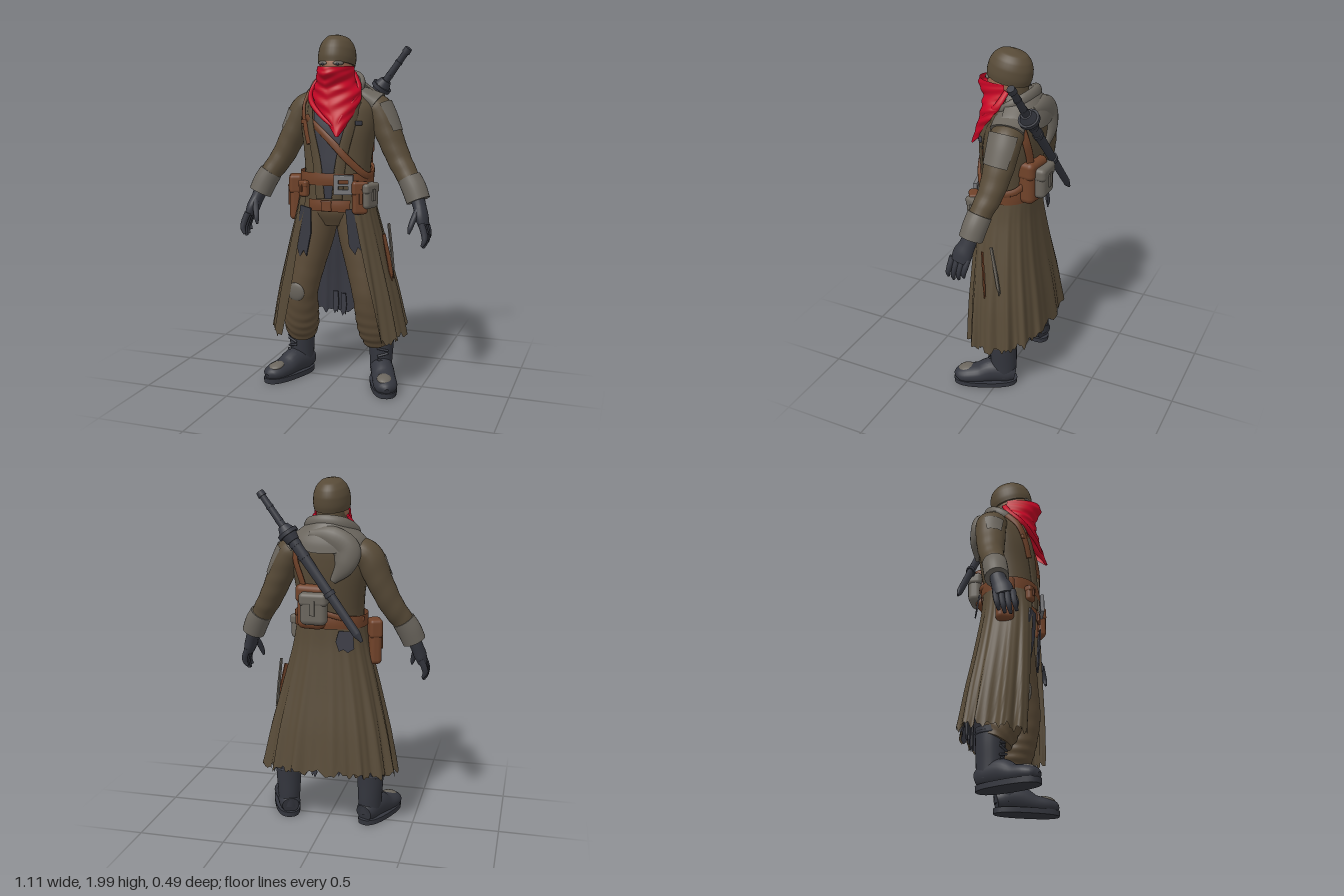
import * as THREE from 'three';
import { RoundedBoxGeometry } from 'three/addons/geometries/RoundedBoxGeometry.js';

const V = (x, y, z) => new THREE.Vector3(x, y, z);
const paint = (name, color, side = THREE.DoubleSide) => Object.assign(new THREE.MeshStandardMaterial({ color, side }), { name });

export function createModel() {
  const coat = paint('coat brown', 0x574a37), trouser = paint('trouser brown', 0x5a4a36), canvas = paint('worn grey', 0x6a655d),
    leather = paint('leather', 0x704229), dark = paint('dark cloth', 0x3a3b44), black = paint('boot black', 0x34363e),
    red = paint('scarf red', 0xc40524), skin = paint('skin', 0x94674e, THREE.FrontSide), metal = paint('buckle metal', 0x77777a, THREE.FrontSide);
  const model = new THREE.Group();
  const add = (name, geo, mat, pos = [0, 0, 0], rot = [0, 0, 0], parent = model) => {
    const m = new THREE.Mesh(geo, mat);
    m.name = name; m.position.set(...pos); m.rotation.set(...rot); parent.add(m);
    return m;
  };
  const pw = (v, e) => Math.sign(v) * Math.abs(v) ** e;

  // Skin through elliptical sections [x, y, z, radiusA, radiusB] along a smooth path
  function loft(pts, { n = 20, rows = 20, e = 1, ref = () => V(0, 0, 1), level = false, arc, rip = () => 1, drop = () => 0, caps = !arc } = {}) {
    const path = new THREE.CatmullRomCurve3(pts.map(p => V(p[0], p[1], p[2])));
    const size = new THREE.CatmullRomCurve3(pts.map(p => V(p[3], p[4], 0)));
    const pos = [], idx = [], cols = arc ? n + 1 : n;
    for (let j = 0; j <= rows; j++) {
      const t = j / rows, c = path.getPoint(t), r = size.getPoint(t);
      const tan = level ? V(0, Math.sign(pts.at(-1)[1] - pts[0][1]), 0) : path.getTangent(t);
      const w = ref(c); w.addScaledVector(tan, -w.dot(tan)).normalize();
      const u = tan.clone().cross(w), [s, f] = arc ? arc(t) : [0, Math.PI * 2];
      for (let i = 0; i < cols; i++) {
        const a = s + (f - s) * i / n, k = rip(a, t);
        const p = c.clone().addScaledVector(u, r.x * k * pw(Math.sin(a), e)).addScaledVector(w, r.y * k * pw(Math.cos(a), e));
        pos.push(p.x, p.y - drop(a, t), p.z);
      }
    }
    for (let j = 0; j < rows; j++) for (let i = 0; i < n; i++) {
      const a = j * cols + i, b = j * cols + (i + 1) % cols;
      idx.push(a, b, b + cols, a, b + cols, a + cols);
    }
    if (caps) for (const end of [0, rows]) {
      const base = pos.length / 3, ring = pos.slice(end * cols * 3, (end + 1) * cols * 3), c = path.getPoint(end / rows);
      pos.push(...ring, c.x, c.y, c.z);
      for (let i = 0; i < n; i++) {
        const a = base + i, b = base + (i + 1) % n;
        end ? idx.push(a, b, base + n) : idx.push(b, a, base + n);
      }
    }
    const g = new THREE.BufferGeometry();
    g.setAttribute('position', new THREE.Float32BufferAttribute(pos, 3));
    g.setIndex(idx); g.computeVertexNormals();
    return g;
  }

  // Torso and a helper for points on its surface
  const torso = [[0, 1.08, .04, .19, .14], [0, 1.22, .04, .185, .145], [0, 1.36, .025, .195, .155], [0, 1.5, .01, .215, .16],
    [0, 1.6, -.005, .215, .15], [0, 1.68, -.02, .165, .12], [0, 1.75, 0, .09, .09]];
  add('coatBody', loft(torso, { n: 40, e: .88, level: true, rip: (a, t) => 1 + .008 * Math.sin(a * 9 + t * 14) }), coat);
  const onTorso = (y, a, off) => {
    const i = Math.max(1, torso.findIndex(s => s[1] >= y)), A = torso[i - 1], B = torso[i], k = (y - A[1]) / (B[1] - A[1]);
    const [, , cz, rx, rz] = A.map((v, q) => v + (B[q] - v) * k);
    return [(rx + off) * pw(Math.sin(a), .88), y, cz + (rz + off) * pw(Math.cos(a), .88)];
  };
  const outward = p => V(p.x, 0, p.z - .02);
  const strap = (name, list, w, mat, off = .012, thick = .009) =>
    add(name, loft(list.map(([y, a]) => [...onTorso(y, a, off), w, thick]), { n: 8, e: .6, rows: 28, ref: outward }), mat);
  const band = (name, y0, y1, grow, mat, arc) => add(name, loft([y0, (y0 + y1) / 2, y1].map((y, i) =>
    [0, y, .04, .19 + grow, .148 + grow + (i === 1 ? .004 : 0)]), { n: 48, rows: 4, e: .88, level: true, arc, caps: false }), mat);

  // Dark vest, lapels and harness
  add('vest', loft([1.1, 1.22, 1.36, 1.5, 1.6].map(y => { const p = onTorso(y, 0, .008), q = onTorso(y, Math.PI / 2, .008); return [0, y, q[2], q[0], p[2] - q[2]]; }),
    { n: 14, e: .88, level: true, arc: t => [-.2 - .22 * t, .14 + .26 * t] }), dark);
  for (const s of [-1, 1]) {
    strap('lapel', [[1.1, s * .2], [1.3, s * .3], [1.5, s * .48], [1.64, s * .7]], .03, coat);
    add('strapBuckle', new RoundedBoxGeometry(.04, .025, .018, 2, .006), s < 0 ? leather : dark, onTorso(1.52, s * .7, .02), [0, s * .6, 0]);
  }
  strap('frontStrap', [[1.4, -.55], [1.5, -.66], [1.6, -.8], [1.68, -1.1]], .018, leather, .016);
  strap('rearStrap', [[1.63, 2.2], [1.55, 2.4], [1.42, 2.6], [1.22, 2.65]], .022, leather, .016);
  strap('chestStrap', [[1.55, -.62], [1.42, .05], [1.32, .5], [1.23, 1.2], [1.25, 2.1], [1.3, 2.6]], .02, leather, .02);
  strap('backStrap', [[1.24, 2], [1.28, 2.8], [1.24, 3.6], [1.22, 4.4]], .016, leather, .02);

  // Long coat skirt, open at the front, with a dark lining
  const skirt = [[0, 1.2, .04, .195, .155], [0, 1.05, .045, .222, .168], [0, .8, .035, .285, .19], [0, .55, .02, .345, .214], [0, .31, .005, .39, .23]];
  const folds = (a, t) => 1 + t * (.04 * Math.sin(a * 15) + .018 * Math.sin(a * 31 + 1));
  const hem = (a, t) => t * .04 * Math.cos(a) + t ** 12 * (.014 * Math.sin(a * 23) + .01 * Math.sin(a * 57));
  const open = t => [.57 + .23 * t, Math.PI * 2 - .57 - .23 * t];
  add('coatSkirt', loft(skirt, { n: 150, rows: 28, e: .8, level: true, arc: open, rip: folds, drop: hem }), coat);
  add('coatLining', loft(skirt.map(([x, y, z, a, b]) => [x, y, z, a - .01, b - .01]),
    { n: 90, rows: 20, e: .8, level: true, arc: () => [2.3, 3.98], rip: folds, drop: hem }), dark);

  // Belts, buckle and pouches
  band('waistBelt', 1.175, 1.245, .018, leather);
  band('hipBelt', 1.03, 1.095, .012, leather, () => [-.6, .6]);
  const frame = new THREE.Shape([[-.05, -.05], [.05, -.05], [.05, .05], [-.05, .05]].map(p => new THREE.Vector2(...p)));
  frame.holes.push(new THREE.Path([[-.03, -.03], [-.03, .03], [.03, .03], [.03, -.03]].map(p => new THREE.Vector2(...p))));
  add('beltBuckle', new THREE.ExtrudeGeometry(frame, { depth: .015, bevelSize: .004, bevelThickness: .004, bevelSegments: 2 }), metal, [.09, 1.185, .2], [0, .25, 0]);
  add('buckleTongue', new THREE.BoxGeometry(.06, .012, .01), metal, [.09, 1.185, .215], [0, .25, 0]);
  add('hipBuckle', new RoundedBoxGeometry(.06, .06, .02, 2, .006), leather, [-.01, 1.062, .202]);
  const pouch = (name, [w, h, d], mat, pos, yaw) => {
    const g = new THREE.Group(); g.name = name; g.position.set(...pos); g.rotation.y = yaw; model.add(g);
    add('pouchBody', new RoundedBoxGeometry(w, h, d, 4, Math.min(w, d) * .38), mat, [0, 0, 0], [0, 0, 0], g);
    add('pouchFlap', new RoundedBoxGeometry(w * 1.07, h * .42, d * 1.1, 4, d * .3), mat, [0, h * .3, 0], [0, 0, 0], g);
    add('pouchTab', new THREE.BoxGeometry(w * .2, h * .45, .012), mat, [0, h * .05, d * .55], [0, 0, 0], g);
  };
  pouch('holster', [.1, .26, .07], leather, [-.25, 1.08, .05], -1.2);
  pouch('rightPouch', [.06, .09, .04], leather, [-.15, 1.15, .178], -.4);
  pouch('leftPouch', [.085, .18, .05], leather, [.18, 1.115, .185], .5);
  pouch('leftSidePouch', [.11, .14, .06], canvas, [.222, 1.125, .15], 1.2);
  pouch('backPack', [.16, .25, .1], leather, [.075, 1.3, -.12], Math.PI - .15);
  pouch('backPouch', [.15, .18, .08], canvas, [.05, 1.3, -.175], Math.PI);

  // Hanging cloth flaps and loose straps
  const flap = (name, w, h, mat, pos, rot) => {
    const s = new THREE.Shape([[-.4, 0], [.4, 0], [.55, -.5], [.35, -.95], [.1, -.85], [-.15, -1], [-.5, -.8]].map(([x, y]) => new THREE.Vector2(x * w, y * h)));
    add(name, new THREE.ExtrudeGeometry(s, { depth: .008, bevelEnabled: false }), mat, pos, rot);
  };
  flap('rightFlap', .09, .3, dark, [-.135, 1.05, .185], [.05, -.3, -.12]);
  flap('leftFlap', .08, .26, dark, [.13, 1.05, .185], [.05, .3, .12]);
  flap('backFlap', .1, .12, dark, [-.12, 1.17, -.128], [.15, .3, 0]);
  flap('looseStrap', .025, .28, leather, [.285, .9, .08], [-.05, .8, .24]);
  flap('looseStrapEnd', .022, .3, canvas, [.295, .95, .02], [0, 1.3, .2]);
  [-.09, -.04, .05].forEach((x, i) => flap('liningStrip', .035, .14, dark, [x, .47 - .01 * i, -.19], [0, 0, 0]));

  // Head, helmet and eyes
  add('neck', new THREE.CylinderGeometry(.08, .09, .18, 20), coat, [0, 1.745, .025]);
  add('face', new THREE.SphereGeometry(1, 28, 20), skin, [0, 1.815, .06]).scale.set(.09, .12, .112);
  const dome = new THREE.Group(); dome.name = 'helmet'; dome.position.set(0, 1.83, .052); dome.rotation.x = -.2; model.add(dome);
  add('helmetShell', loft([[0, 0, 0, .1, .122], [0, .035, 0, .104, .127], [0, .08, 0, .1, .123], [0, .12, 0, .085, .106], [0, .15, 0, .058, .075], [0, .167, 0, .004, .005]],
    { n: 36, rows: 30, level: true }), coat, [0, 0, 0], [0, 0, 0], dome);
  for (const s of [-1, 1]) {
    add('eyeRim', new THREE.SphereGeometry(1, 14, 10), canvas, [s * .045, 1.842, .155], [0, s * .4, 0]).scale.set(.03, .012, .012);
    add('eye', new THREE.SphereGeometry(.009, 10, 8), black, [s * .042, 1.838, .163]);
  }

  // Scarf over the face, hanging to a point on the chest
  const bib = [[0, 1.825, .05, .096, .17], [0, 1.79, .05, .1, .178], [0, 1.74, .05, .11, .15], [.012, 1.69, .07, .138, .122], [.02, 1.62, .11, .128, .095],
    [.045, 1.54, .16, .072, .065], [.065, 1.45, .24, .008, .012]];
  add('scarf', loft(bib, { n: 56, rows: 44, level: true, arc: () => [-1.66, 1.66],
    rip: (a, t) => 1 + .03 * Math.sin(t * 38 + Math.abs(a - .15) * 5.5) * Math.min(1, t * 3) }), red);
  for (const s of [-1, 1]) add('scarfFold', loft([[s * .095, 1.79, .02, .008, .016], [s * .135, 1.71, .06, .012, .02], [s * .125, 1.64, .13, .014, .018],
    [.02 + s * .06, 1.56, .2, .012, .012], [.055, 1.49, .23, .006, .006]], { n: 10 }), red);

  // Lowered hood: cape round the neck, folded rim and the drape on the back
  add('hoodCape', loft([[0, 1.775, -.01, .095, .1], [0, 1.73, -.02, .135, .125], [0, 1.675, -.025, .195, .145], [0, 1.63, -.02, .225, .158]],
    { n: 40, rows: 14, e: .92, level: true, arc: t => [1.45 + .1 * t, 5 - .2 * t], drop: (a, t) => t * .025 * Math.cos(a * 2) }), canvas);
  add('hoodRim', loft([[.115, 1.68, .07, .01, .012], [.13, 1.72, 0, .018, .026], [.09, 1.755, -.07, .022, .035], [0, 1.765, -.095, .025, .04],
    [-.09, 1.75, -.07, .028, .04], [-.14, 1.71, 0, .028, .035], [-.14, 1.65, .09, .012, .018]], { ref: () => V(0, 1, 0), rows: 36 }), canvas);
  add('hoodDrape', loft([[.08, 1.7, -.11, .03, .035], [-.04, 1.68, -.125, .07, .045], [-.12, 1.62, -.125, .08, .048], [-.115, 1.54, -.14, .06, .04], [-.05, 1.45, -.145, .018, .015]], {}), canvas);

  // Arms, gloves, legs and boots, mirrored
  for (const s of [-1, 1]) {
    const mir = pts => pts.map(([x, ...r]) => [x * s, ...r]);
    add('sleeve', loft(mir([[.14, 1.62, -.03, .07, .085], [.22, 1.58, -.035, .082, .09], [.282, 1.45, -.025, .074, .084], [.35, 1.31, -.005, .067, .07], [.42, 1.2, .03, .06, .06], [.46, 1.12, .045, .052, .052]]),
      { n: 24, rows: 40, rip: (a, t) => 1 + .025 * Math.sin(t * 50 + Math.sin(a) * 2) * t }), coat);
    // Worn patch: wide on the left shoulder, small and forward on the right
    const mid = s > 0 ? -Math.PI / 2 : 1.15, half = s > 0 ? 1.05 : .65;
    add('shoulderPatch', loft(mir(s > 0 ? [[.21, 1.6, -.035, .087, .098], [.243, 1.535, -.032, .086, .096], [.284, 1.445, -.024, .081, .091]]
      : [[.238, 1.555, -.033, .085, .093], [.26, 1.5, -.03, .083, .091], [.286, 1.445, -.024, .079, .089]]),
    { arc: t => [mid - half + .15 * t, mid + half - .15 * t], rows: 10 }), canvas);
    if (s > 0) add('shoulderYoke', loft([[.1, 1.695, -.025, .025, .06], [.15, 1.665, -.03, .04, .09], [.21, 1.62, -.035, .066, .095]], { rows: 10 }), canvas);
    add('cuff', loft(mir([[.415, 1.215, .025, .066, .068], [.447, 1.16, .037, .069, .068], [.475, 1.095, .05, .067, .066]]), { n: 24, rows: 8 }), canvas);
    add('glove', loft(mir([[.465, 1.12, .048, .04, .042], [.488, 1.06, .065, .036, .046], [.505, 1.01, .085, .036, .056], [.52, .965, .095, .028, .053]]), {}), black);
    for (let i = 0; i < 4; i++) {
      const z = .05 + i * .031, l = [.85, 1, 1.05, .95][i];
      add('finger', loft(mir([[.515, .985, z, .018, .017], [.535, .985 - .055 * l, z + .008, .018, .016], [.54, .985 - .095 * l, z + .016, .015, .014], [.526, .985 - .13 * l, z + .022, .008, .008]]), { n: 10, rows: 10 }), black);
    }
    add('thumb', loft(mir([[.485, 1.05, .1, .018, .02], [.468, 1, .13, .017, .017], [.456, .955, .15, .014, .014], [.45, .925, .155, .006, .006]]), { n: 10, rows: 10 }), black);

    add('trouserLeg', loft(mir([[.085, 1.08, .04, .1, .12], [.115, .9, .05, .102, .112], [.165, .7, .07, .095, .1], [.2, .54, .08, .09, .094],
      [.215, .42, .055, .097, .098], [.227, .34, .03, .102, .1], [.24, .262, 0, .088, .088]]),
    { n: 28, rows: 56, rip: (a, t) => 1 + .035 * Math.sin(t * 62 + Math.sin(a + s) * 4) * t ** 2 }), trouser);
    if (s < 0) add('kneePatch', new THREE.SphereGeometry(1, 16, 10), canvas, [-.21, .545, .167], [.1, -.1, 0]).scale.set(.055, .055, .016);

    const boot = new THREE.Group(); boot.name = 'boot'; boot.position.set(s * .255, 0, -.008); boot.rotation.y = s * .4; model.add(boot);
    const put = (name, geo, mat, pos, rot) => add(name, geo, mat, pos, rot, boot);
    put('bootShaft', loft([[0, .06, -.02, .062, .07], [0, .14, -.02, .066, .076], [0, .24, -.018, .073, .08], [0, .33, -.018, .076, .084]], { level: true, n: 24 }), black);
    put('bootFoot', loft([[0, .07, -.085, .05, .05], [0, .08, -.04, .064, .07], [0, .085, .05, .066, .075], [0, .062, .13, .068, .056], [0, .055, .2, .068, .05], [0, .048, .25, .052, .038], [0, .04, .272, .018, .018]],
      { ref: () => V(0, 1, 0), n: 24 }), black);
    put('bootSole', loft([[0, 0, .09, .073, .188], [0, .03, .09, .074, .19]], { level: true, rows: 2, n: 32, e: .8 }), black);
    put('toePatch', new THREE.SphereGeometry(1, 16, 8), canvas, [-s * .008, .092, .205], [.2, 0, 0]).scale.set(.042, .018, .05);
    for (let i = 0; i < 5; i++) put('lace', new THREE.CapsuleGeometry(.007, .055, 3, 8), black, [0, .15 + i * .032, .06 + .002 * i + (i ? 0 : .01)], [0, 0, Math.PI / 2 + (i % 2 ? .25 : -.25)]);
    put('bootStrap', new THREE.TorusGeometry(.074, .008, 8, 28), black, [0, .3, -.018], [Math.PI / 2, 0, 0]);
  }
  add('trouserSeat', loft([[0, .94, .04, .12, .1], [0, 1.02, .04, .17, .135], [0, 1.12, .04, .18, .138]], { level: true, n: 28 }), trouser);

  // Sheathed sword slung across the back
  const sword = new THREE.Group(); sword.name = 'sword'; sword.position.set(-.23, 1.14, -.222); model.add(sword);
  sword.quaternion.setFromUnitVectors(V(0, 1, 0), V(.59, .78, .09).normalize());
  const piece = (name, top, bottom, y0, y1, flat = 1) => {
    add(name, new THREE.CylinderGeometry(top, bottom, y1 - y0, 20), black, [0, (y0 + y1) / 2, 0], [0, 0, 0], sword).scale.z = flat;
  };
  piece('scabbardTip', .023, .008, 0, .05, .7);
  piece('scabbard', .031, .023, .05, .66, .7);
  for (const y of [.3, .55, .63]) piece('scabbardBand', .034, .033, y, y + .025, .8);
  piece('guardCollar', .045, .036, .66, .7);
  piece('guard', .058, .058, .7, .722);
  piece('guardTop', .03, .046, .722, .76);
  piece('grip', .018, .021, .76, .965);
  for (const y of [.79, .88]) piece('gripRing', .022, .022, y, y + .012);
  piece('pommel', .021, .024, .955, .985);
  return model;
}
